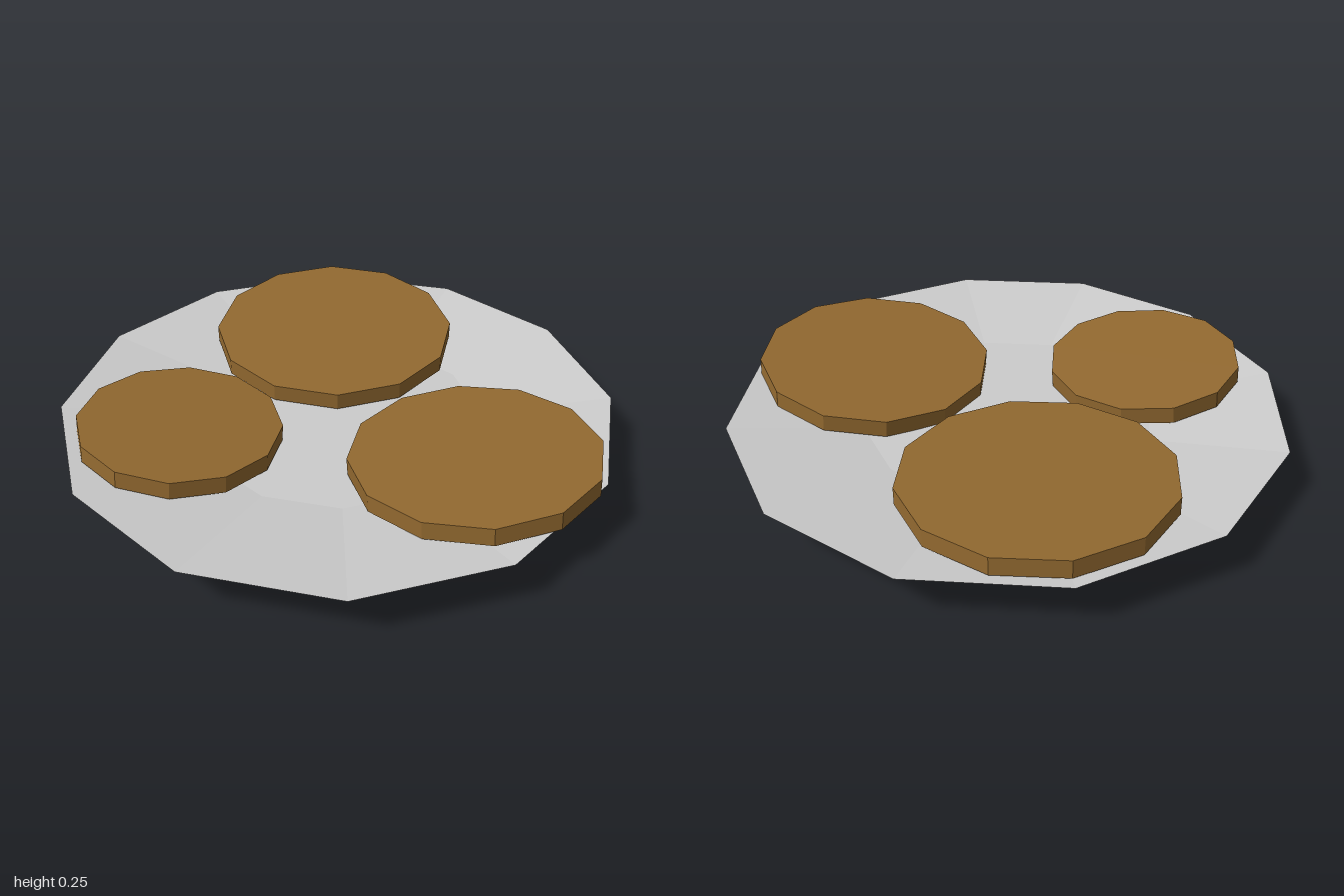
import * as THREE from 'three';

const SIDES = 12;
const TURN = Math.PI / SIDES; // flat sides face the axes

export function createModel() {
  const plateGrey = new THREE.MeshStandardMaterial({ color: 0xcccccc, flatShading: true });
  plateGrey.name = 'plateGrey';
  const cookieBrown = new THREE.MeshStandardMaterial({ color: 0x926930, flatShading: true });
  cookieBrown.name = 'cookieBrown';

  const model = new THREE.Group();
  model.name = 'plateOfCookies';

  // Plate: one closed profile, underside outwards to the rim, then back to the floor
  const profile = [
    [0, 0], [0.15, 0], [0.29, 0.07], [0.54, 0.11], [0.765, 0.11],
    [1.025, 0.18], [0.54, 0.12], [0, 0.12],
  ].map(([r, y]) => new THREE.Vector2(r, y));
  const plate = new THREE.Mesh(new THREE.LatheGeometry(profile, SIDES, TURN), plateGrey);
  plate.name = 'plate';
  plate.position.set(-0.01, 0, -0.003);
  model.add(plate);

  // Cookies: discs leaning on the sloped rim; slopeX and slopeZ are the rise per unit
  const thickness = 0.065;
  const addCookie = (name, radius, x, topY, z, slopeX, slopeZ) => {
    const geometry = new THREE.CylinderGeometry(radius, radius, thickness, SIDES, 1, false, TURN);
    const cookie = new THREE.Mesh(geometry, cookieBrown);
    cookie.name = name;
    cookie.position.set(x, topY - thickness / 2, z);
    const normal = new THREE.Vector3(-slopeX, 1, -slopeZ).normalize();
    cookie.quaternion.setFromUnitVectors(new THREE.Vector3(0, 1, 0), normal);
    model.add(cookie);
  };
  addCookie('largeCookie', 0.477, -0.37, 0.22, -0.363, -0.043, -0.043);
  addCookie('mediumCookie', 0.441, 0.571, 0.217, -0.075, 0.088, 0);
  addCookie('smallCookie', 0.367, -0.304, 0.216, 0.508, -0.042, 0.07);

  return model;
}
